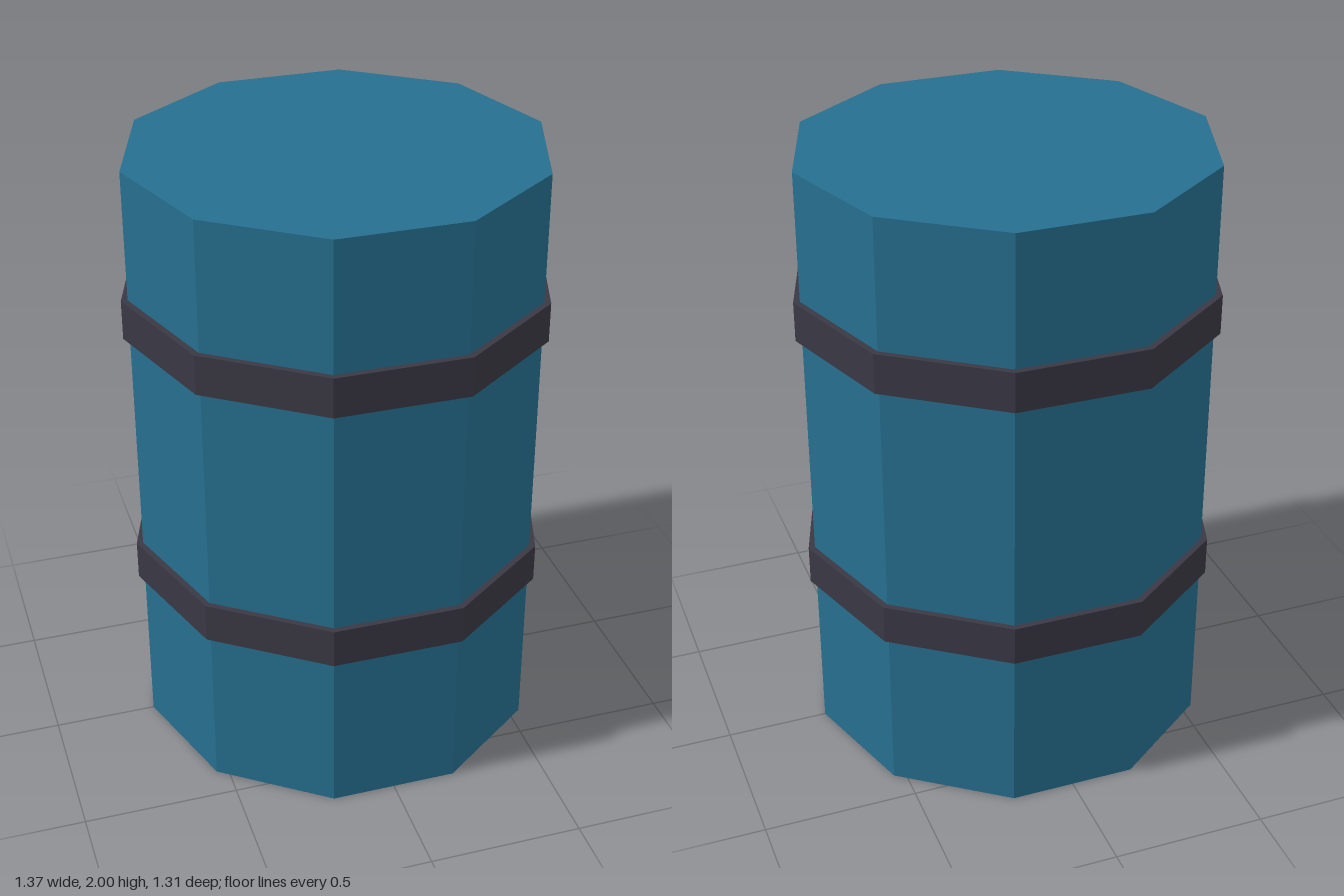
import * as THREE from 'three';

const SIDES = 10;

// Ten-sided turned part with a corner on the x axis and flat-shaded faces
function facetedLathe(points, material, name) {
  const profile = points.map(([r, y]) => new THREE.Vector2(r, y));
  const lathe = new THREE.LatheGeometry(profile, SIDES, Math.PI / 2);
  const geometry = lathe.toNonIndexed();
  geometry.computeVertexNormals();
  const mesh = new THREE.Mesh(geometry, material);
  mesh.name = name;
  return mesh;
}

export function createModel() {
  const bluePaint = new THREE.MeshStandardMaterial({ color: 0x266f8f });
  bluePaint.name = 'bluePaint';
  const darkMetal = new THREE.MeshStandardMaterial({ color: 0x3a3844 });
  darkMetal.name = 'darkMetal';

  const model = new THREE.Group();
  model.name = 'barrel';

  // Drum body with flat lid and base
  const R = 0.666;
  model.add(facetedLathe([[0, 0], [R, 0], [R, 2], [0, 2]], bluePaint, 'body'));

  // Two hoops standing proud of the body
  const hoopR = 0.687, hoopHeight = 0.13;
  [['lowerHoop', 0.56], ['upperHoop', 1.45]].forEach(([name, y]) => {
    const top = y + hoopHeight;
    model.add(facetedLathe([[R, y], [hoopR, y], [hoopR, top], [R, top]], darkMetal, name));
  });

  return model;
}
